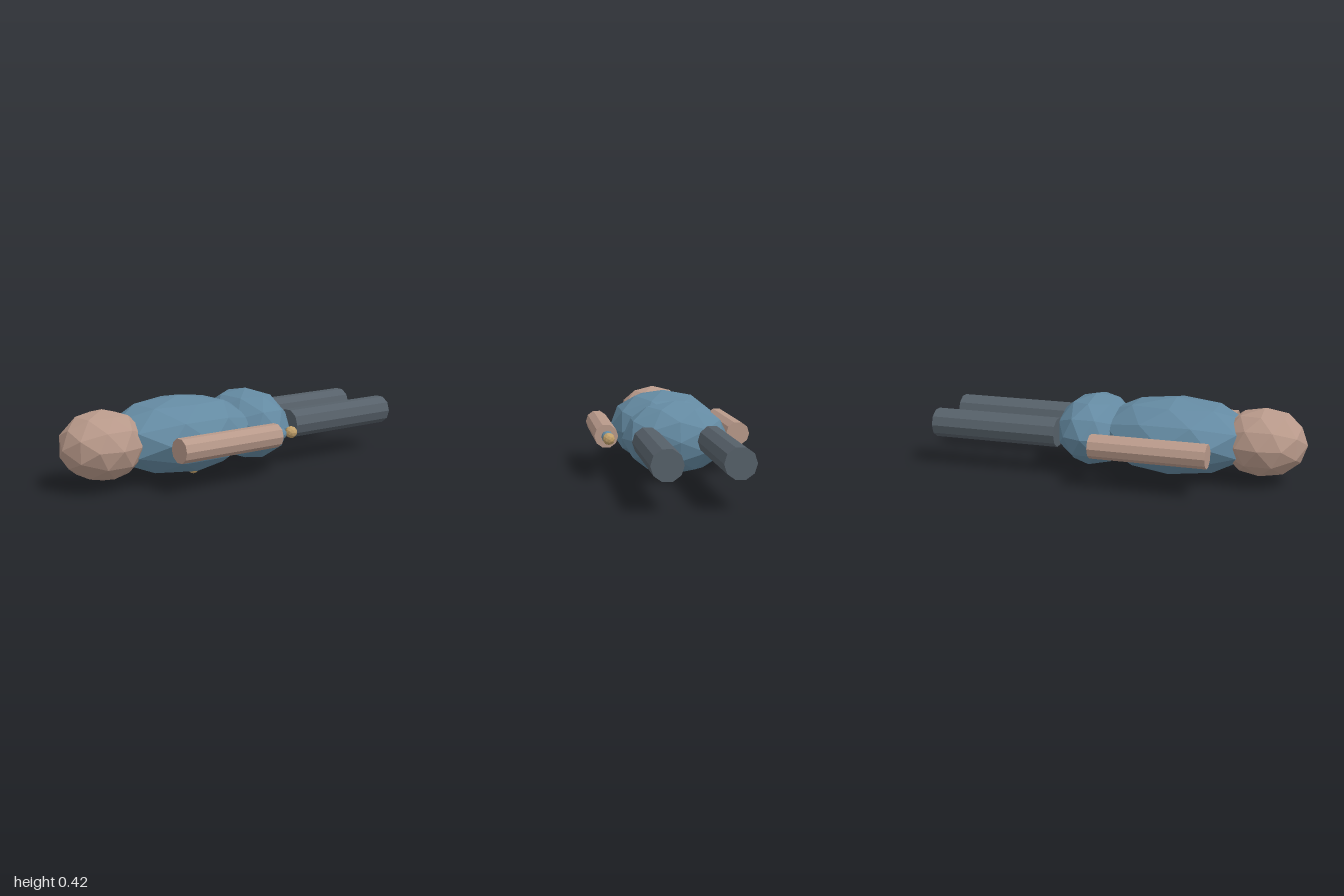
import * as THREE from 'three';

const mat = (name, color) => {
  const m = new THREE.MeshStandardMaterial({ color, flatShading: true });
  m.name = name;
  return m;
};

export function createModel() {
  const blue = mat('dusty blue', 0x648aa2);
  const skin = mat('skin', 0xb8998a);
  const slate = mat('slate grey', 0x566069);
  const gold = mat('gold', 0xc2a16b);
  const model = new THREE.Group();
  model.name = 'lyingFigure';

  const add = (name, geometry, material, x, y, z) => {
    const mesh = new THREE.Mesh(geometry, material);
    mesh.name = name;
    mesh.position.set(x, y, z);
    model.add(mesh);
  };

  // Faceted ellipsoid with its own radius on each axis
  const blob = (name, material, [x, y, z], [rx, ry, rz]) =>
    add(name, new THREE.IcosahedronGeometry(1, 1).scale(rx, ry, rz), material, x, y, z);

  // Ten-sided limb lying along z, flat on top and bottom
  const limb = (name, material, x, y, r, z0, z1) => {
    const g = new THREE.CylinderGeometry(r, r, z1 - z0, 10, 1, false, Math.PI / 2);
    add(name, g.rotateX(Math.PI / 2), material, x, y, (z0 + z1) / 2);
  };

  // Body
  blob('head', skin, [0, 0.221, 0.773], [0.203, 0.18, 0.227]);
  blob('torso', blue, [0, 0.222, 0.307], [0.302, 0.203, 0.435]);
  blob('hips', blue, [0, 0.222, -0.135], [0.281, 0.193, 0.205]);

  // Arms and legs
  for (const [side, s] of [['left', 1], ['right', -1]]) {
    limb(side + 'Arm', skin, s * 0.353, 0.222, 0.063, -0.05, 0.56);
    limb(side + 'Leg', slate, s * 0.167, 0.225, 0.078, -1, -0.295);
  }

  // Small beads beside the left hand and under the chest
  blob('blueBead', blue, [0.35, 0.224, -0.085], [0.032, 0.032, 0.032]);
  blob('goldBead', gold, [0.35, 0.224, -0.158], [0.032, 0.032, 0.032]);
  blob('chestBead', gold, [0.025, 0.031, 0.235], [0.031, 0.031, 0.031]);

  return model;
}
